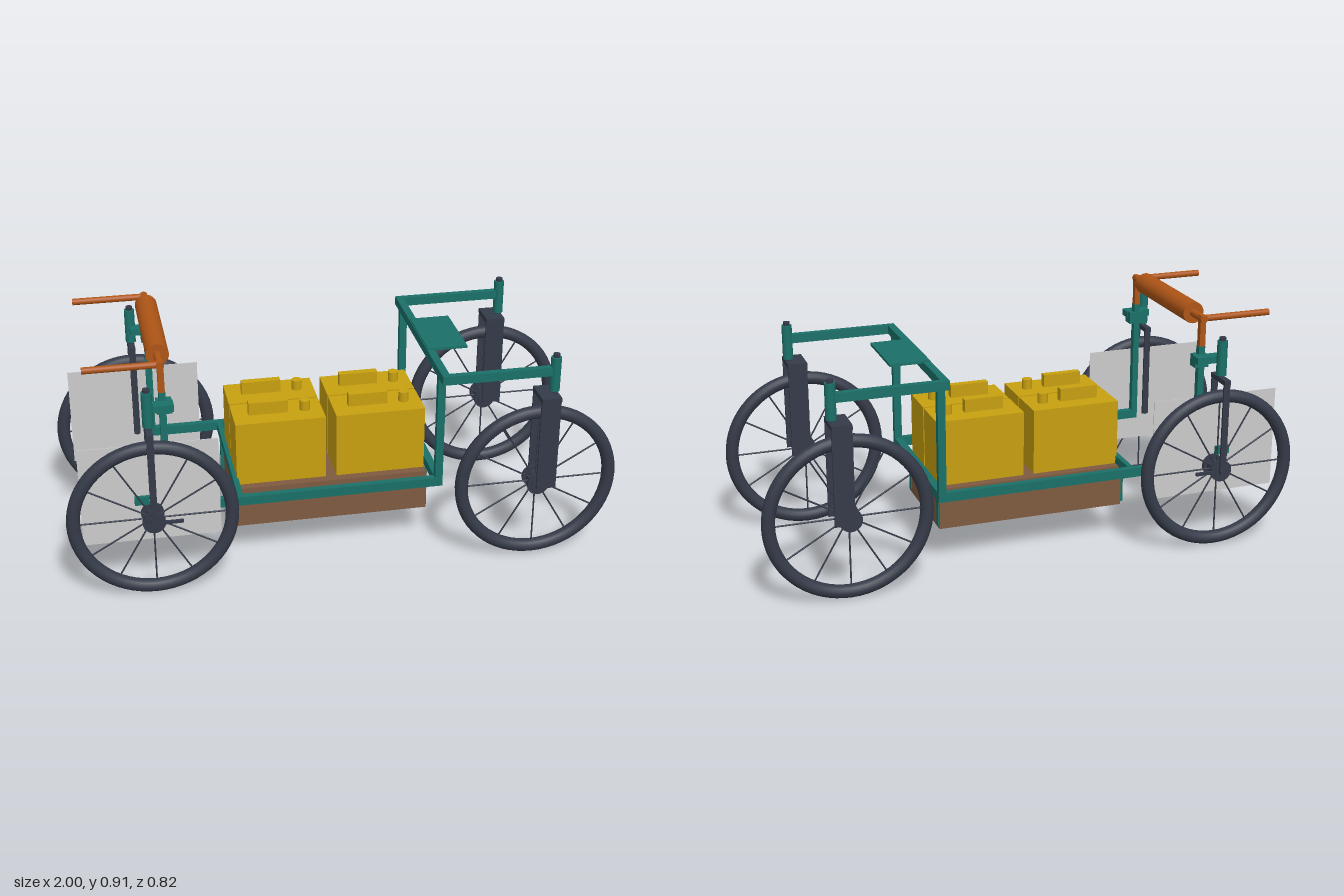
import * as THREE from 'three';

const mat = (color) => new THREE.MeshStandardMaterial({ color });
const teal = mat(0x1a7068), orange = mat(0xae5516), dark = mat(0x343a48);
const yellow = mat(0xc8a010), brown = mat(0x7f5b40), grey = mat(0xcccccc);

export function createModel() {
  const model = new THREE.Group();

  function add(name, geometry, material, x, y, z, parent = model) {
    const mesh = new THREE.Mesh(geometry, material);
    mesh.name = name;
    mesh.position.set(x, y, z);
    parent.add(mesh);
    return mesh;
  }
  // Box given by its ranges along x, y and z
  const box = (name, m, x0, x1, y0, y1, z0, z1) =>
    add(name, new THREE.BoxGeometry(x1 - x0, y1 - y0, z1 - z0), m, (x0 + x1) / 2, (y0 + y1) / 2, (z0 + z1) / 2);
  // Cylinder along an axis
  function rod(name, m, axis, r, length, x, y, z, parent) {
    const mesh = add(name, new THREE.CylinderGeometry(r, r, length, 24), m, x, y, z, parent);
    if (axis === 'x') mesh.rotation.z = Math.PI / 2;
    if (axis === 'z') mesh.rotation.x = Math.PI / 2;
    return mesh;
  }

  // Spoked wheel, axle along z
  function wheel(x, z) {
    const g = new THREE.Group();
    g.name = 'wheel';
    g.position.set(x, 0.305, z);
    model.add(g);
    add('tyre', new THREE.TorusGeometry(0.279, 0.024, 16, 64), dark, 0, 0, 0, g);
    rod('hub', dark, 'z', 0.026, 0.085, 0, 0, 0, g);
    for (const s of [-1, 1]) rod('hubFlange', dark, 'z', 0.041, 0.012, 0, 0, s * 0.032, g);
    rod('axle', dark, 'z', 0.01, 0.115, 0, 0, 0, g);
    for (let i = 0; i < 12; i++) {
      const a = (i * Math.PI) / 6;
      const spoke = rod('spoke', dark, 'y', 0.003, 0.25, -Math.sin(a) * 0.14, Math.cos(a) * 0.14, 0, g);
      spoke.rotation.z = a;
    }
  }

  // Fork with two blades, a crown and a head tube
  function fork(steerX, bladeX0, bladeX1, z) {
    box('forkCrown', dark, bladeX0, bladeX1, 0.642, 0.66, z - 0.057, z + 0.057);
    for (const s of [-1, 1]) {
      const c = z + s * 0.049;
      box('forkBlade', dark, bladeX0, bladeX1, 0.295, 0.645, c - 0.004, c + 0.004);
    }
    rod('steerer', dark, 'y', 0.012, 0.16, steerX, 0.729, z);
    rod('headTube', teal, 'y', 0.019, 0.13, steerX, 0.731, z);
  }

  // Parts on both sides
  for (const s of [-1, 1]) {
    const side = (name, m, x0, x1, y0, y1, z0, z1) =>
      box(name, m, x0, x1, y0, y1, Math.min(s * z0, s * z1), Math.max(s * z0, s * z1));
    wheel(-0.697, s * 0.352);
    wheel(0.697, s * 0.352);
    fork(-0.697, -0.709, -0.685, s * 0.352);
    fork(0.745, 0.685, 0.757, s * 0.352);

    // Frame
    side('sideRail', teal, -0.65, 0.36, 0.29, 0.324, 0.281, 0.305);
    side('frontPost', teal, 0.332, 0.36, 0.29, 0.76, 0.281, 0.305);
    side('frontArm', teal, 0.332, 0.75, 0.727, 0.76, 0.34, 0.364);
    side('rearPost', teal, -0.652, -0.628, 0.29, 0.765, 0.281, 0.305);
    side('rearBracket', teal, -0.70, -0.605, 0.71, 0.735, 0.30, 0.345);
    side('bracketClamp', teal, -0.662, -0.608, 0.69, 0.735, 0.276, 0.318);
    side('trayStrap', teal, -0.392, -0.378, 0.148, 0.30, 0.168, 0.19);
    side('trayStrap', teal, 0.326, 0.331, 0.148, 0.295, 0.168, 0.19);

    // Rear wheel guard, brake and axle lever
    side('wheelGuard', grey, -0.945, -0.455, 0.195, 0.575, 0.309, 0.312);
    side('brakeCaliper', teal, -0.757, -0.705, 0.345, 0.375, 0.312, 0.328);
    side('axleLever', dark, -0.70, -0.595, 0.298, 0.31, 0.386, 0.394);

    // Handlebar ends
    side('handlebarPost', orange, -0.652, -0.63, 0.755, 0.88, 0.282, 0.304);
    rod('handle', orange, 'x', 0.012, 0.27, -0.77, 0.868, s * 0.295);
  }

  // Cross members and seat
  box('upperCrossbar', teal, 0.332, 0.36, 0.727, 0.76, -0.364, 0.364);
  box('lowerCrossbar', teal, 0.332, 0.36, 0.29, 0.324, -0.3, 0.3);
  box('rearCrossbar', teal, -0.39, -0.37, 0.29, 0.324, -0.3, 0.3);
  box('seat', teal, 0.335, 0.482, 0.755, 0.765, -0.135, 0.135);

  // Push roller
  rod('rollerShaft', orange, 'z', 0.014, 0.62, -0.642, 0.868, 0);
  rod('roller', orange, 'z', 0.04, 0.436, -0.642, 0.868, 0);

  // Tray and batteries
  box('tray', brown, -0.38, 0.328, 0.14, 0.295, -0.197, 0.197);
  for (const x of [-0.375, -0.006]) {
    for (const z of [-0.085, 0.085]) {
      box('battery', yellow, x, x + 0.33, 0.293, 0.54, z - 0.08, z + 0.08);
      box('batteryHandle', yellow, x + 0.058, x + 0.203, 0.535, 0.588, z - 0.014, z + 0.014);
      rod('batteryTerminal', yellow, 'y', 0.019, 0.04, x + 0.267, 0.558, z);
    }
  }
  return model;
}
